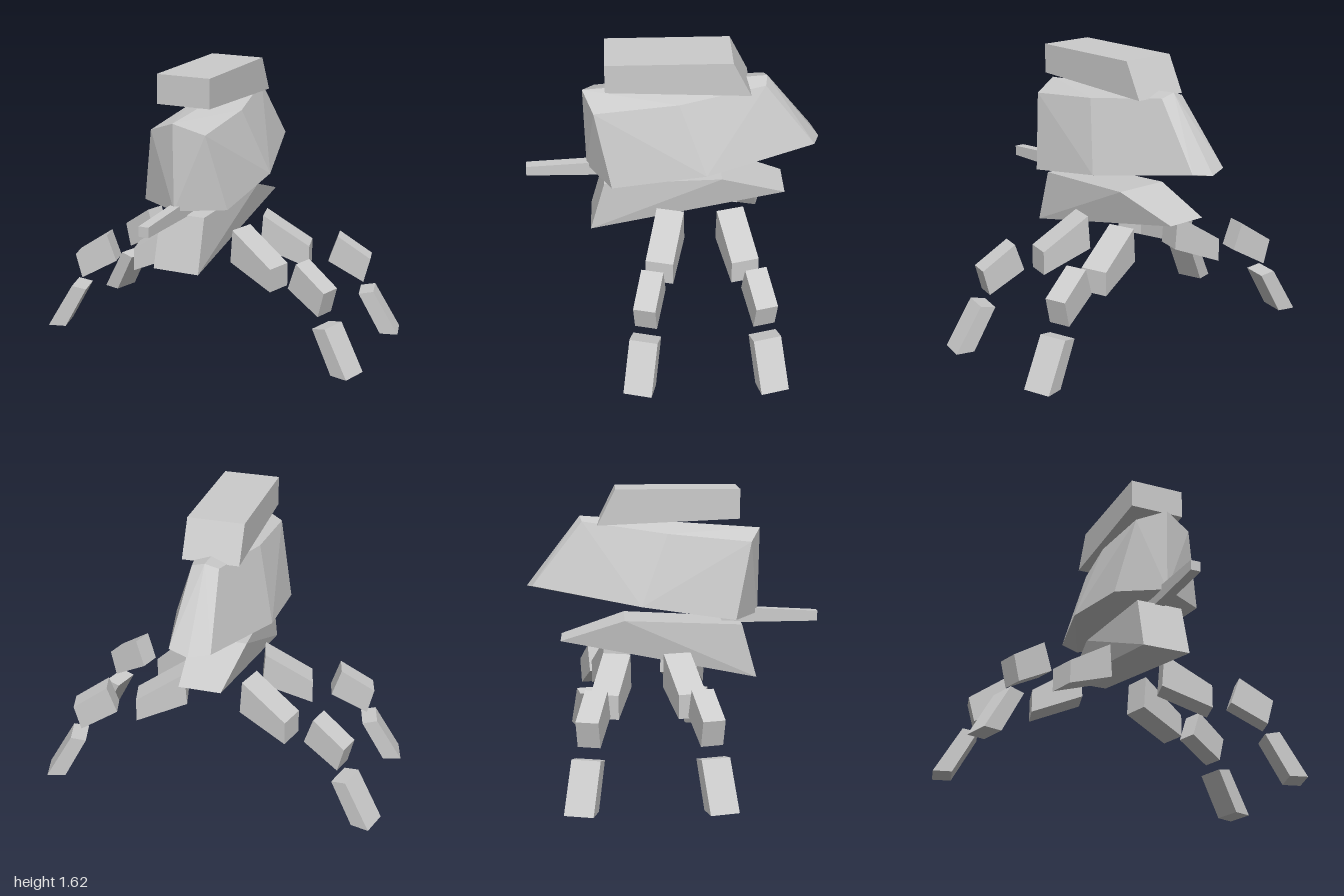
import * as THREE from 'three';
import { ConvexGeometry } from 'three/addons/geometries/ConvexGeometry.js';

const material = new THREE.MeshStandardMaterial({ color: 0xcccccc, flatShading: true });

function addMesh(parent, name, geometry) {
  const mesh = new THREE.Mesh(geometry, material);
  mesh.name = name;
  parent.add(mesh);
  return mesh;
}

// Straight-sided block: a 2D outline given a width, centred on its own plane
function slab(outline, width) {
  const shape = new THREE.Shape(outline.map(([a, b]) => new THREE.Vector2(a, b)));
  return new THREE.ExtrudeGeometry(shape, { depth: width, bevelEnabled: false })
    .translate(0, 0, -width / 2);
}

// Same block, with the outline given as (z, y) and the width across x
const sideSlab = (outline, width) => slab(outline, width).rotateY(-Math.PI / 2);

// Faceted hull from corners [halfWidth, y, z], mirrored across x = 0
function mirroredHull(corners) {
  const points = [];
  for (const [x, y, z] of corners) {
    points.push(new THREE.Vector3(x, y, z));
    if (x > 0) points.push(new THREE.Vector3(-x, y, z));
  }
  return new ConvexGeometry(points);
}

// Leg splay, and the outline (distance from the midline, y) and width of each segment
const SPLAY = Math.PI / 12;
const segments = [
  ['upperLeg', 0.16, [[0.19, 0.695], [0.176, 0.5], [0.4575, 0.385], [0.4575, 0.52]]],
  ['middleLeg', 0.125, [[0.618, 0.585], [0.566, 0.43], [0.77, 0.313], [0.806, 0.457]]],
  ['lowerLeg', 0.16, [[0.747, 0.243], [0.875, 0], [0.977, 0], [0.83, 0.26]]],
];

function makeLeg(name, angle, z) {
  const leg = new THREE.Group();
  leg.name = name;
  for (const [part, width, outline] of segments) {
    const along = outline.map(([x, y]) => [x / Math.cos(SPLAY), y]);
    addMesh(leg, part, slab(along, width));
  }
  leg.rotation.y = angle;
  leg.position.z = z;
  return leg;
}

export function createModel() {
  const model = new THREE.Group();
  model.name = 'walker';

  // Main body: front, middle and back corners
  addMesh(model, 'body', mirroredHull([
    [0, 1.387, 0.5], [0.165, 1.325, 0.437], [0.255, 0.895, 0.345], [0, 0.895, 0.49],
    [0.165, 1.372, -0.035], [0.28, 0.977, -0.185],
    [0, 1.46, -0.53], [0.075, 1.435, -0.517], [0.115, 1.075, -0.8], [0, 1.06, -0.837],
  ]));

  // Lower hull carrying the legs
  addMesh(model, 'lowerHull', mirroredHull([
    [0.135, 0.847, 0.39], [0.138, 0.54, 0.475],
    [0.16, 0.877, -0.28], [0.12, 0.757, -0.645],
  ]));

  // Box on top of the body
  addMesh(model, 'topPod', sideSlab(
    [[0.37, 1.622], [0.37, 1.455], [-0.43, 1.42], [-0.328, 1.622]], 0.32));

  // Gun under the nose
  addMesh(model, 'gun', sideSlab(
    [[0.837, 0.903], [0.837, 0.845], [0.288, 0.84], [0.24, 0.935], [0.49, 0.922]], 0.058));

  // Four splayed legs
  const frontZ = -0.035, backZ = -0.275;
  model.add(makeLeg('frontLeftLeg', -SPLAY, frontZ));
  model.add(makeLeg('backLeftLeg', SPLAY, backZ));
  model.add(makeLeg('frontRightLeg', Math.PI + SPLAY, frontZ));
  model.add(makeLeg('backRightLeg', Math.PI - SPLAY, backZ));

  return model;
}
